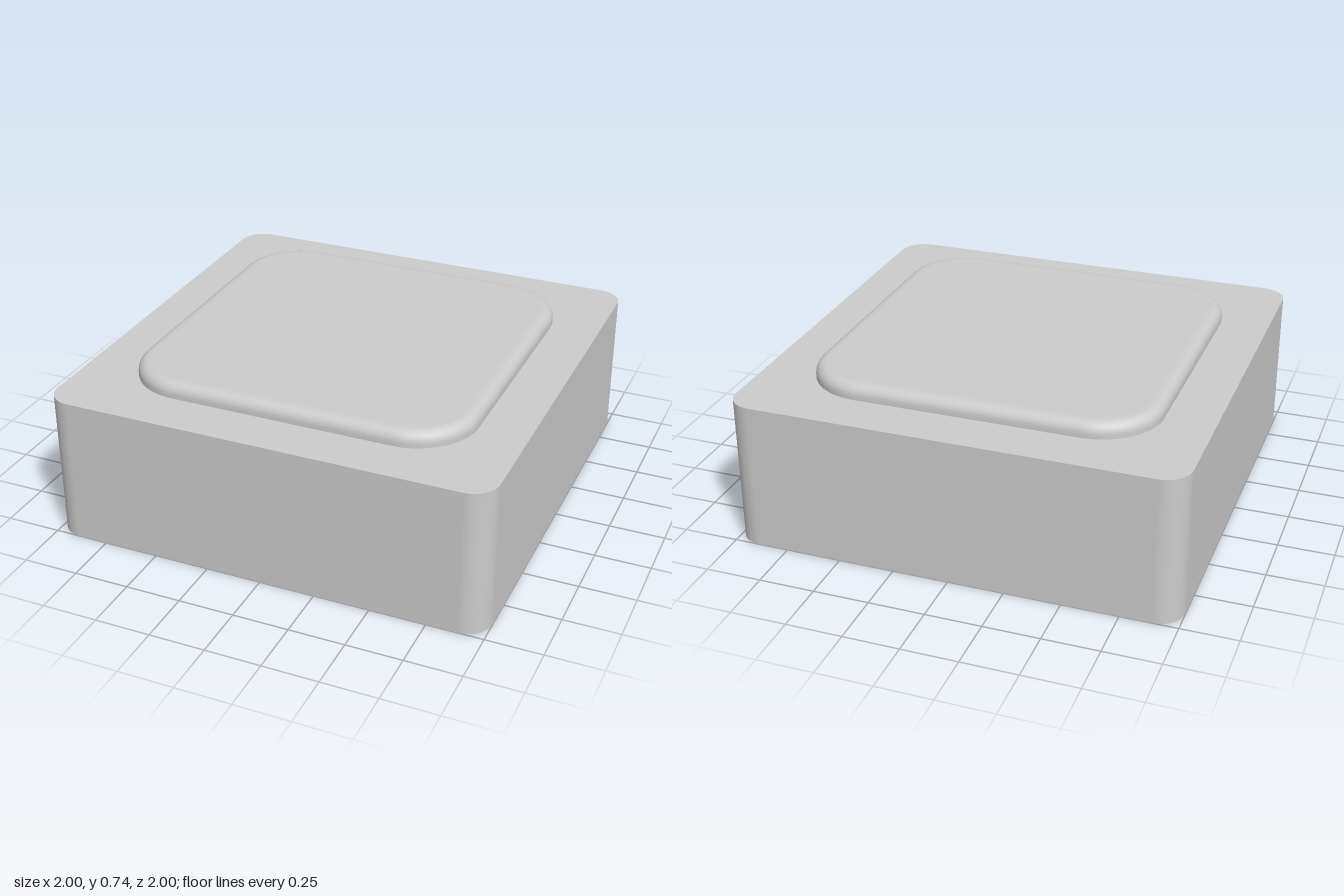
import * as THREE from 'three';
import { toCreasedNormals } from 'three/addons/utils/BufferGeometryUtils.js';

const CORNER_STEPS = 20;

// Outline of a rounded square, counter-clockwise seen from above.
function ring([half, radius, y]) {
  const points = [];
  for (let corner = 0; corner < 4; corner++) {
    const mid = Math.PI / 4 + corner * Math.PI / 2;
    const cx = Math.sign(Math.cos(mid)) * (half - radius);
    const cz = -Math.sign(Math.sin(mid)) * (half - radius);
    for (let i = 0; i <= CORNER_STEPS; i++) {
      const a = (corner + i / CORNER_STEPS) * Math.PI / 2;
      points.push([cx + radius * Math.cos(a), y, cz - radius * Math.sin(a)]);
    }
  }
  return points;
}

// Skin through [half width, corner radius, y] sections; half width 0 closes a cap.
function loft(sections) {
  const rings = sections.map(ring);
  const positions = [];
  for (let s = 0; s < rings.length - 1; s++) {
    const a = rings[s], b = rings[s + 1];
    for (let i = 0; i < a.length; i++) {
      const j = (i + 1) % a.length;
      if (sections[s + 1][0] > 0) positions.push(...a[i], ...b[i], ...b[j]);
      if (sections[s][0] > 0) positions.push(...a[i], ...b[j], ...a[j]);
    }
  }
  const geometry = new THREE.BufferGeometry();
  geometry.setAttribute('position', new THREE.Float32BufferAttribute(positions, 3));
  geometry.computeVertexNormals();
  return toCreasedNormals(geometry, 0.5);
}

export function createModel() {
  const group = new THREE.Group();
  const material = new THREE.MeshStandardMaterial({ color: 0xcccccc });
  const add = (name, geometry) => {
    const mesh = new THREE.Mesh(geometry, material);
    mesh.name = name;
    group.add(mesh);
  };

  const top = 0.667, ceiling = 0.495;

  // Hollow shell: flat top, outer walls, bottom rim, chamfered opening, inner walls, ceiling
  add('shell', loft([
    [0, 0, top],
    [1, 0.115, top],
    [1, 0.115, 0],
    [0.875, 0.11, 0],
    [0.835, 0.1, 0.04],
    [0.835, 0.1, ceiling],
    [0, 0, ceiling],
  ]));

  // Raised pad with a rounded upper edge
  const padTop = 0.735, round = 0.05;
  const padSections = [[0, 0, padTop], [0.72, 0.22, padTop]];
  for (let i = 0; i <= 8; i++) {
    const a = (i / 8) * Math.PI / 2;
    const inset = round * (1 - Math.sin(a));
    padSections.push([0.78 - inset, 0.28 - inset, padTop - round * (1 - Math.cos(a))]);
  }
  padSections.push([0.78, 0.28, top]);
  add('topPad', loft(padSections));

  // Twelve-sided stem with a cross-shaped socket
  const outline = new THREE.Shape();
  for (let i = 0; i < 12; i++) {
    const a = (i + 0.5) * Math.PI / 6;
    outline[i ? 'lineTo' : 'moveTo'](0.338 * Math.cos(a), 0.338 * Math.sin(a));
  }
  outline.closePath();
  const arm = 0.255, w = 0.075;
  const cross = [];
  for (let i = 0; i < 4; i++) {
    for (const [x, y] of [[arm, -w], [arm, w], [w, w]]) {
      cross.push(new THREE.Vector2(x, y).rotateAround(new THREE.Vector2(), i * Math.PI / 2));
    }
  }
  outline.holes.push(new THREE.Path(cross));
  const stem = new THREE.ExtrudeGeometry(outline, { depth: ceiling, bevelEnabled: false });
  stem.rotateX(-Math.PI / 2);
  add('stem', stem);

  return group;
}
